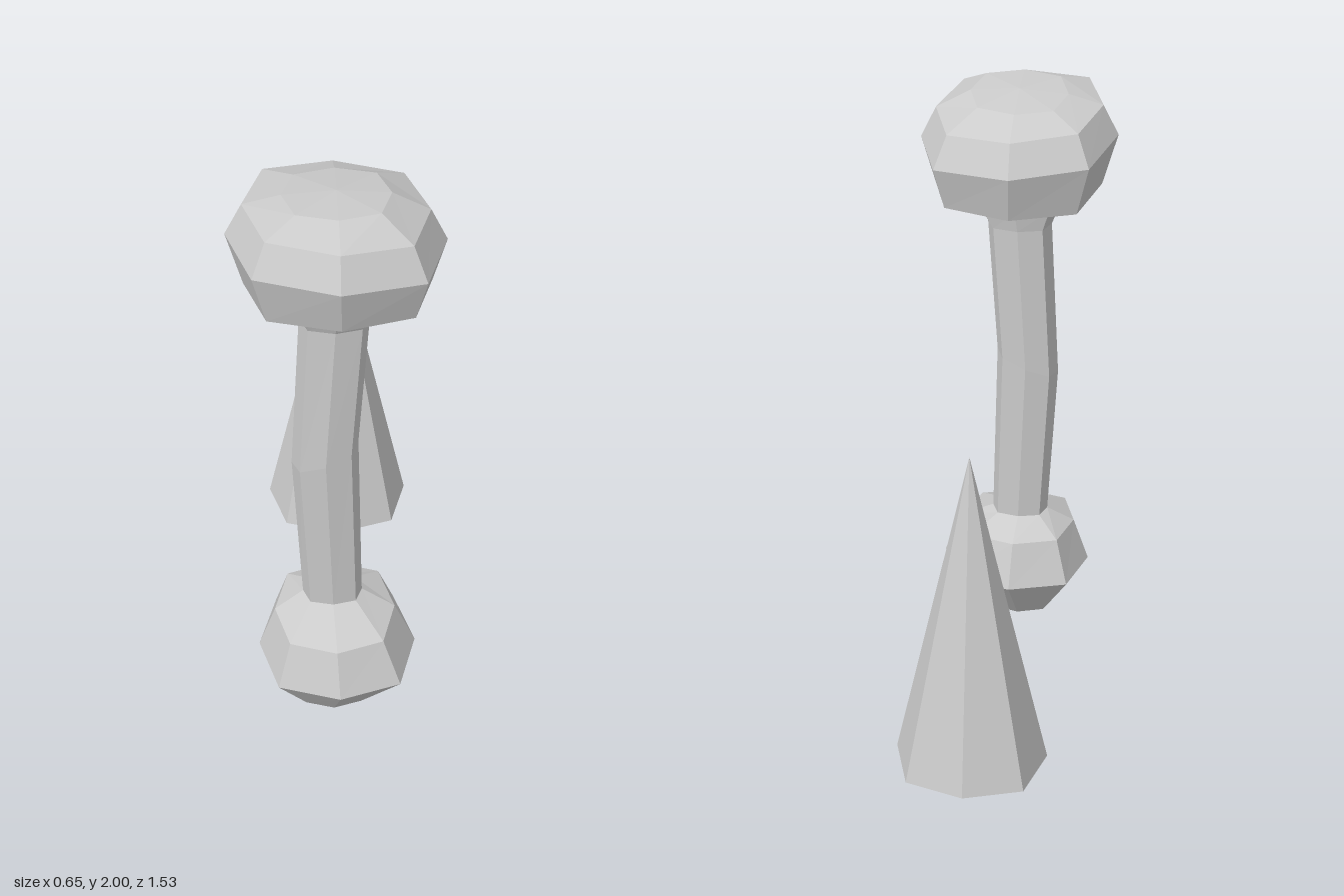
import * as THREE from 'three';

const SIDES = 8;

// One eight-sided ring; tiltX / tiltZ are the height gained at its +x / +z edge.
function ring({ y, x = 0, z = 0, rx, rz = rx, tiltX = 0, tiltZ = 0 }) {
  const points = [];
  for (let i = 0; i < SIDES; i++) {
    const angle = (i / SIDES) * Math.PI * 2;
    const fullness = i % 2 ? 1.085 : 1; // corners slightly fuller than the axes
    const s = Math.sin(angle) * fullness, c = Math.cos(angle) * fullness;
    points.push([x + rx * s, y + tiltX * s + tiltZ * c, z + rz * c]);
  }
  return points;
}

// Skin a stack of rings (bottom to top), closed at both ends by a centre point.
function loft(name, rings, bottom, top, material) {
  const loops = rings.map(ring);
  const positions = [];
  const tri = (...corners) => corners.forEach((p) => positions.push(...p));
  for (let i = 0; i < SIDES; i++) {
    const j = (i + 1) % SIDES;
    tri(bottom, loops[0][j], loops[0][i]);
    for (let k = 0; k < loops.length - 1; k++) {
      const a = loops[k], b = loops[k + 1];
      tri(a[i], a[j], b[j]);
      tri(a[i], b[j], b[i]);
    }
    const last = loops[loops.length - 1];
    tri(top, last[i], last[j]);
  }
  const geometry = new THREE.BufferGeometry();
  geometry.setAttribute('position', new THREE.Float32BufferAttribute(positions, 3));
  geometry.computeVertexNormals();
  const mesh = new THREE.Mesh(geometry, material);
  mesh.name = name;
  return mesh;
}

export function createModel() {
  const model = new THREE.Group();
  model.name = 'clubAndSpike';
  const grey = new THREE.MeshStandardMaterial({ color: 0xcccccc, flatShading: true });

  // Club: lower knob, slightly bent shaft and a wider, tilted upper knob
  const club = loft('doubleKnobClub', [
    { y: 0.01, x: -0.01, z: 0.455, rx: 0.12 },
    { y: 0.195, x: 0.005, z: 0.445, rx: 0.26, tiltZ: -0.012 },
    { y: 0.352, x: -0.003, z: 0.445, rx: 0.198, rz: 0.205, tiltZ: -0.012 },
    { y: 0.412, x: -0.01, z: 0.423, rx: 0.097, rz: 0.073 },
    { y: 1.01, x: -0.034, z: 0.425, rx: 0.105, rz: 0.084, tiltX: 0.04 },
    { y: 1.53, x: -0.005, z: 0.423, rx: 0.107, rz: 0.084 },
    { y: 1.605, x: 0.003, z: 0.433, rx: 0.147, rz: 0.105 },
    { y: 1.675, x: 0.005, z: 0.438, rx: 0.28, tiltZ: 0.022 },
    { y: 1.833, z: 0.437, rx: 0.325, tiltX: -0.018, tiltZ: 0.02 },
    { y: 1.936, z: 0.437, rx: 0.274, tiltX: -0.016, tiltZ: 0.018 },
    { y: 1.983, z: 0.44, rx: 0.16, tiltZ: 0.015 },
  ], [-0.01, 0.003, 0.455], [0, 1.995, 0.44], grey);

  // Spike: eight-sided cone standing behind the club
  const spike = loft('spike', [{ y: 0.04, x: 0.045, z: -0.515, rx: 0.25 }],
    [0.045, 0.04, -0.515], [0.045, 1.17, -0.515], grey);

  model.add(club, spike);
  return model;
}
